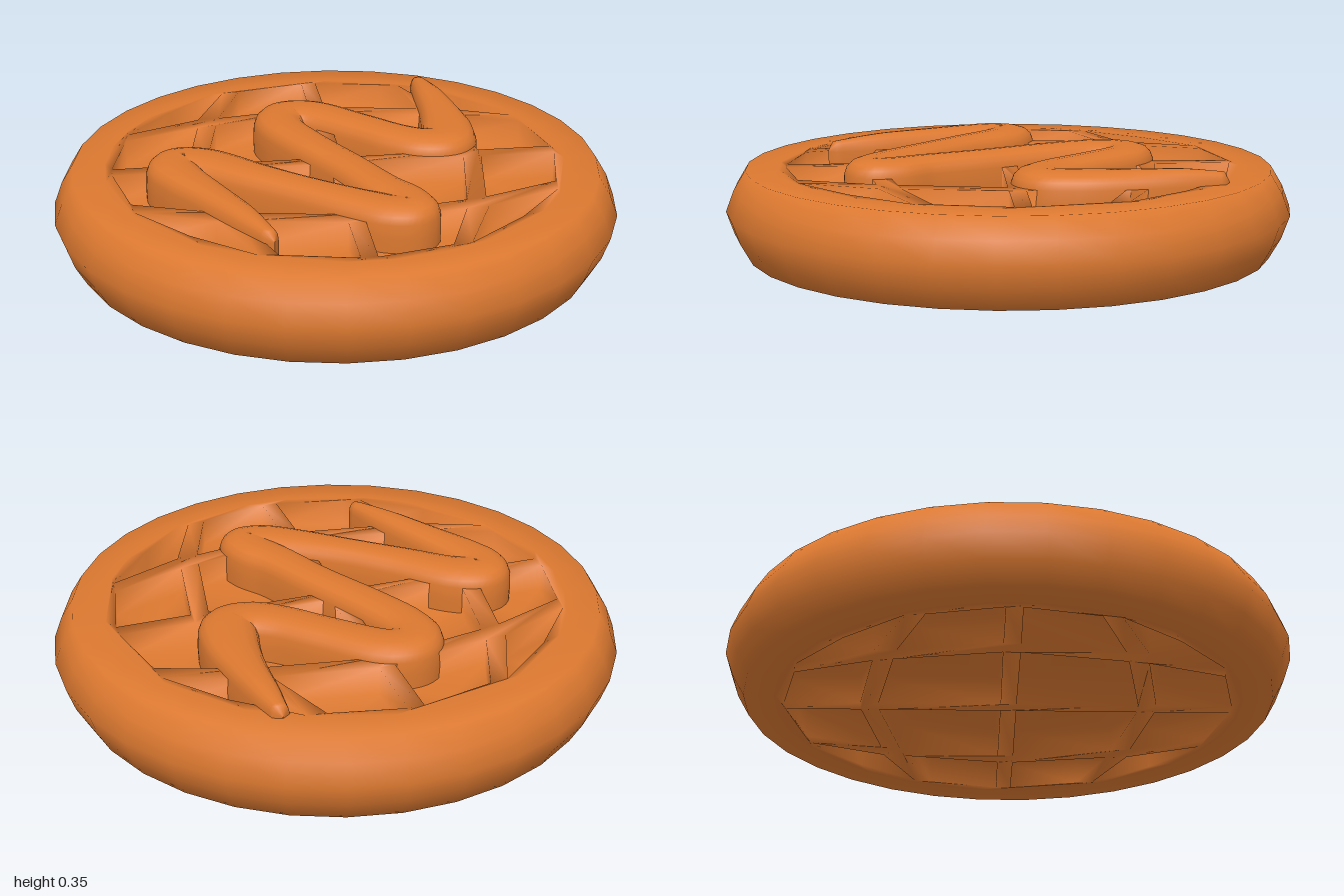
import * as THREE from 'three';
import { mergeGeometries, mergeVertices } from 'three/addons/utils/BufferGeometryUtils.js';

const TOP = 0.3, SIDES = 32, PLATE_R = 0.82;

// Grid pits for one quarter of the disc, as [x, z] corners
const smallPit = [[-0.27, -0.76], [0, -0.785], [0.27, -0.76], [0, -0.65]];
const edgePit = [[-0.06, -0.6], [-0.32, -0.72], [-0.54, -0.58], [-0.35, -0.392]];
const innerPit = [[0, -0.56], [-0.304, -0.346], [0, -0.04], [0.304, -0.346]];
const mirrored = (pit) => pit.map(([x, z]) => [-x, z]);

function allPits() {
  const pits = [];
  for (let q = 0; q < 4; q++) {
    const a = q * Math.PI / 2, c = Math.round(Math.cos(a)), s = Math.round(Math.sin(a));
    for (const pit of [smallPit, edgePit, mirrored(edgePit), innerPit]) {
      const pts = pit.map(([x, z]) => new THREE.Vector2(x * c - z * s, x * s + z * c));
      if (THREE.ShapeUtils.area(pts) < 0) pts.reverse();
      pits.push(pts);
    }
  }
  return pits;
}

function indexedGeometry(pos, idx) {
  const g = new THREE.BufferGeometry();
  g.setAttribute('position', new THREE.Float32BufferAttribute(pos, 3));
  g.setIndex(idx);
  return g;
}

// Cup of walls and a floor below (or above) a pit opening
function pitCup(pts, rimY, floorY) {
  const n = pts.length, pos = [], idx = [];
  const mid = pts.reduce((m, p) => m.add(p), new THREE.Vector2()).divideScalar(n);
  const tri = (a, b, c) => (rimY > floorY ? idx.push(a, b, c) : idx.push(a, c, b));
  for (const p of pts) pos.push(p.x, floorY, p.y);
  for (const p of pts) pos.push(p.x, rimY, p.y);
  pos.push(mid.x, floorY, mid.y);
  for (let i = 0; i < n; i++) {
    const j = (i + 1) % n;
    tri(2 * n, j, i);
    tri(i, j, n + j);
    tri(i, n + j, n + i);
  }
  return indexedGeometry(pos, idx);
}

// Flat lattice: disc with the pit openings cut out
function latticeGeometry(pits, rimY) {
  const outline = [];
  for (let i = 0; i < SIDES; i++) {
    const a = (i + 0.5) / SIDES * Math.PI * 2;
    outline.push(new THREE.Vector2(PLATE_R * Math.cos(a), PLATE_R * Math.sin(a)));
  }
  const shape = new THREE.Shape(outline);
  for (const pts of pits) shape.holes.push(new THREE.Path(pts.map((p) => new THREE.Vector2(p.x, -p.y))));
  const g = new THREE.ShapeGeometry(shape);
  g.rotateX(rimY > 0 ? -Math.PI / 2 : Math.PI / 2).translate(0, rimY, 0);
  g.deleteAttribute('normal');
  g.deleteAttribute('uv');
  return g;
}

// One waffle face: lattice and pits welded together for soft shading
function faceGeometry(pits, rimY, floorY) {
  const cups = pits.map((pts) => pitCup(pts, rimY, floorY));
  const g = mergeVertices(mergeGeometries([latticeGeometry(pits, rimY), ...cups]), 1e-4);
  g.computeVertexNormals();
  return g;
}

// Syrup ribbon: rounded cross-section swept along a zigzag; rows are [x, z, half width]
function syrupGeometry() {
  const path = [
    [-0.665, 0.26, 0.025], [-0.6, 0.08, 0.055], [-0.525, -0.15, 0.075], [-0.475, -0.3, 0.09],
    [-0.43, -0.385, 0.1], [-0.375, -0.405, 0.105], [-0.33, -0.34, 0.1], [-0.315, -0.1, 0.085],
    [-0.3, 0.1, 0.08], [-0.275, 0.32, 0.09], [-0.25, 0.43, 0.095], [-0.205, 0.475, 0.098],
    [-0.16, 0.42, 0.095], [-0.125, 0.3, 0.085], [-0.05, 0.1, 0.08], [0.03, -0.15, 0.085],
    [0.095, -0.31, 0.092], [0.15, -0.375, 0.1], [0.215, -0.39, 0.103], [0.27, -0.33, 0.098],
    [0.28, -0.1, 0.09], [0.28, 0.08, 0.092], [0.305, 0.18, 0.1], [0.365, 0.225, 0.107],
    [0.47, 0.165, 0.102], [0.6, 0.04, 0.078], [0.72, -0.1, 0.055], [0.81, -0.21, 0.028],
  ];
  // Widest just below the lattice level
  const section = [[-0.98, -0.11], [-1, -0.05], [-0.97, 0], [-0.88, 0.025], [-0.7, 0.042], [-0.4, 0.052],
    [0, 0.055], [0.4, 0.052], [0.7, 0.042], [0.88, 0.025], [0.97, 0], [1, -0.05], [0.98, -0.11]];
  const curve = new THREE.CatmullRomCurve3(path.map(([x, z, w]) => new THREE.Vector3(x, w, z)));
  const N = 216, K = section.length, pos = [], idx = [];
  for (let i = 0; i <= N; i++) {
    const p = curve.getPoint(i / N), t = curve.getTangent(i / N);
    const len = Math.hypot(t.x, t.z), nx = -t.z / len, nz = t.x / len;
    const w = i === 0 || i === N ? 0.001 : p.y;
    const lift = Math.min(1, Math.sqrt(w / 0.06));
    for (const [s, h] of section) {
      pos.push(p.x + nx * s * w, TOP + (h > 0 ? h * lift : h), p.z + nz * s * w);
    }
  }
  for (let i = 0; i < N; i++) {
    for (let k = 0; k < K - 1; k++) {
      const a = i * K + k, c = a + K;
      idx.push(a, a + 1, c, a + 1, c + 1, c);
    }
  }
  const g = indexedGeometry(pos, idx);
  g.computeVertexNormals();
  return g;
}

export function createModel() {
  const model = new THREE.Group();
  model.name = 'waffle';
  const golden = new THREE.MeshStandardMaterial({ color: 0xdb7830 });
  golden.name = 'goldenBrown';
  const add = (name, geometry) => {
    const mesh = new THREE.Mesh(geometry, golden);
    mesh.name = name;
    model.add(mesh);
  };

  // Rounded outer rim
  const profile = [[PLATE_R, 0], [0.935, 0], [0.977, 0.075], [1.005, 0.155], [0.977, 0.23], [0.935, TOP], [PLATE_R, TOP]];
  add('rim', new THREE.LatheGeometry(
    profile.map(([r, y]) => new THREE.Vector2(r, y)), SIDES, Math.PI / SIDES));

  // Lattice and pits on both faces
  const pits = allPits();
  add('topFace', faceGeometry(pits, TOP, 0.2));
  add('bottomFace', faceGeometry(pits, 0, 0.1));

  // Syrup drizzle
  add('syrupDrizzle', syrupGeometry());
  return model;
}
